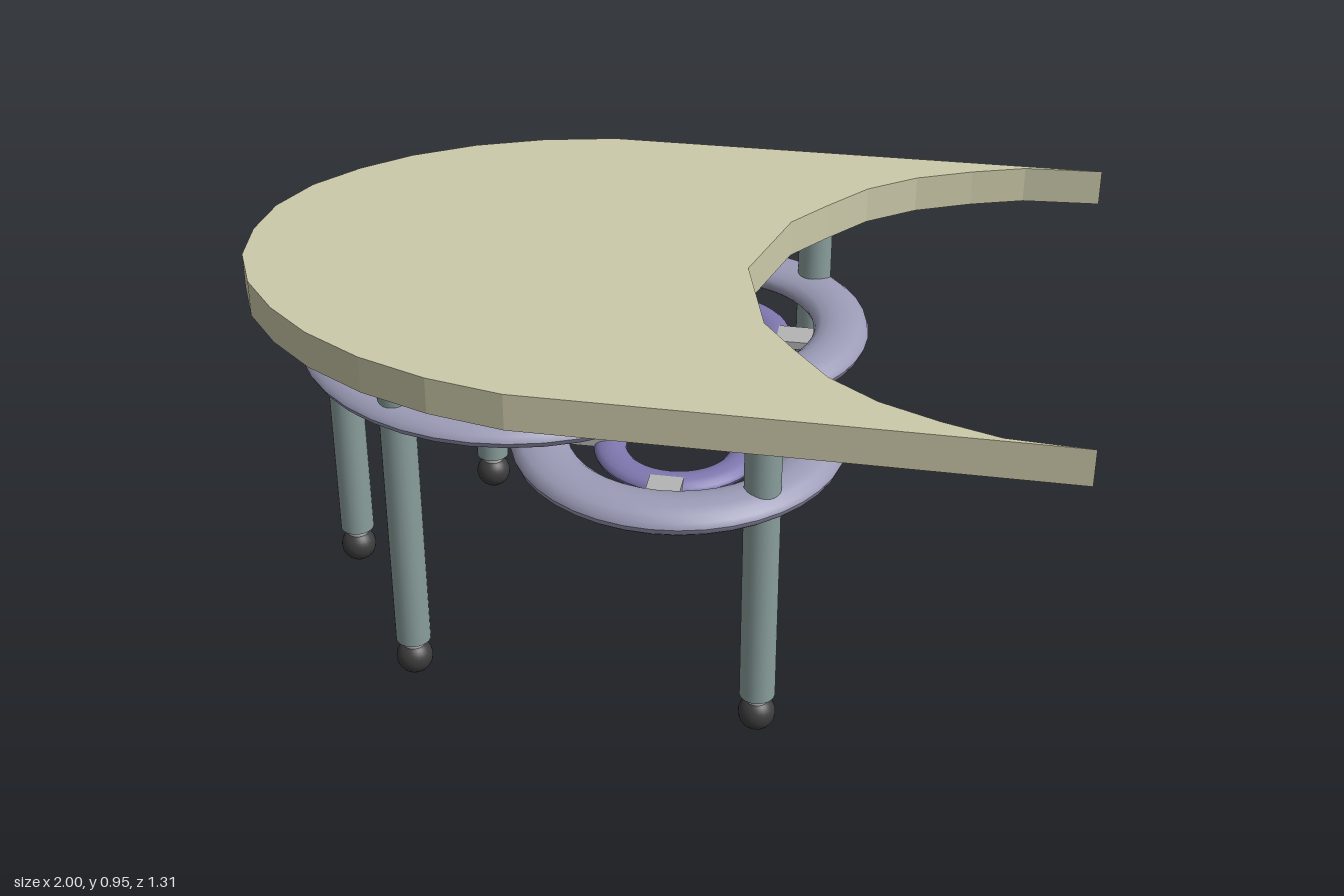
import * as THREE from 'three';

const paint = (color) => new THREE.MeshStandardMaterial({ color });
const topMat = paint(0xcccaaa), legMat = paint(0x8a9f9d), ringMat = paint(0x9c9cb8);
const innerMat = paint(0x7f78b0), ballMat = paint(0x3c3c3c), metalMat = paint(0xb4b4b4);

function add(parent, name, geometry, material, x = 0, y = 0, z = 0) {
  const mesh = new THREE.Mesh(geometry, material);
  mesh.name = name;
  mesh.position.set(x, y, z);
  parent.add(mesh);
  return mesh;
}

// Ring with an oval section, lying flat
function ringGeometry(inner, outer, halfHeight) {
  const mid = (inner + outer) / 2, half = (outer - inner) / 2;
  const section = [];
  for (let i = 0; i <= 16; i++) {
    const t = (i / 16) * Math.PI * 2;
    section.push(new THREE.Vector2(mid + half * Math.cos(t), halfHeight * Math.sin(t)));
  }
  return new THREE.LatheGeometry(section, 40);
}

// Wheel-like shelf: wide outer ring, lower inner ring, four flat spokes
function ringShelf(name, radius, drop) {
  const shelf = new THREE.Group();
  shelf.name = name;
  add(shelf, 'outerRing', ringGeometry(radius * 0.65, radius, 0.037), ringMat);
  add(shelf, 'innerRing', ringGeometry(radius * 0.31, radius * 0.505, 0.021), innerMat, 0, -drop, 0);
  for (let i = 0; i < 4; i++) {
    const a = (i * Math.PI) / 2, r = radius * 0.58;
    const spoke = add(shelf, 'spoke', new THREE.BoxGeometry(radius * 0.32, 0.02, radius * 0.2), metalMat,
      Math.cos(a) * r, -drop * 0.6, Math.sin(a) * r);
    spoke.rotation.y = -a;
  }
  return shelf;
}

// Round leg with a short neck and a ball foot
function leg(x, z) {
  const group = new THREE.Group();
  group.name = 'leg';
  group.position.set(x, 0, z);
  add(group, 'post', new THREE.CylinderGeometry(0.042, 0.042, 0.77, 24), legMat, 0, 0.485, 0);
  add(group, 'neck', new THREE.CylinderGeometry(0.026, 0.026, 0.05, 20), metalMat, 0, 0.085, 0);
  add(group, 'ballFoot', new THREE.SphereGeometry(0.044, 24, 16), ballMat, 0, 0.046, 0);
  return group;
}

export function createModel() {
  const model = new THREE.Group();
  model.name = 'table';

  // Tabletop: half outline from the rounded end to the tip and back along the hollow
  const half = [[-1, 0], [-0.985, 0.13], [-0.93, 0.255], [-0.84, 0.365], [-0.73, 0.46], [-0.585, 0.545],
    [-0.42, 0.607], [-0.24, 0.645], [1, 0.655], [0.81, 0.642], [0.68, 0.6], [0.545, 0.542],
    [0.43, 0.46], [0.34, 0.35], [0.265, 0.25], [0.195, 0]];
  const mirrored = half.slice(1, -1).reverse().map(([x, z]) => [x, -z]);
  const outline = [...half, ...mirrored].map(([x, z]) => new THREE.Vector2(x, z));
  const slab = new THREE.ExtrudeGeometry(new THREE.Shape(outline), { depth: 0.09, bevelEnabled: false });
  slab.rotateX(Math.PI / 2);
  add(model, 'tabletop', slab, topMat, 0, 0.95, 0);

  // Legs
  for (const [x, z] of [[-0.81, -0.015], [-0.545, 0.418], [-0.545, -0.412], [0.3, 0.493], [0.3, -0.515]]) {
    model.add(leg(x, z));
  }

  // Shelves: one large, two small overlapping ones below it
  const large = ringShelf('largeShelf', 0.53, 0.045);
  large.position.set(-0.35, 0.745, 0);
  model.add(large);
  for (const side of [1, -1]) {
    const small = ringShelf(side > 0 ? 'frontSmallShelf' : 'backSmallShelf', 0.388, 0.029);
    small.position.set(0.075, 0.642, side * 0.26);
    model.add(small);
  }

  // Short post joining the shelves
  add(model, 'shelfConnector', new THREE.CylinderGeometry(0.03, 0.03, 0.1, 20), legMat, -0.2, 0.68, 0);
  return model;
}
